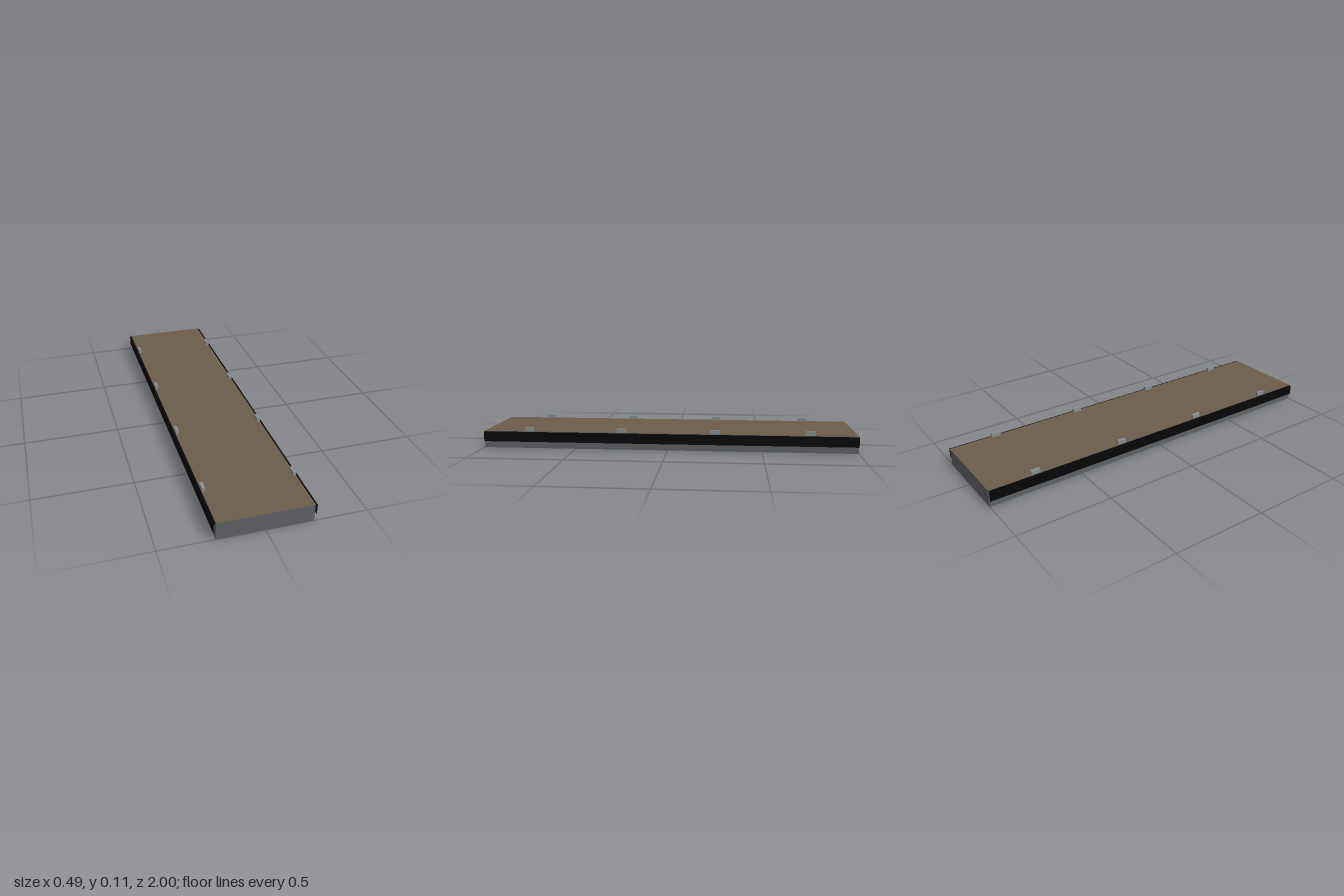
import * as THREE from 'three';

const HALF_W = 0.233, HALF_L = 1, DECK_Y = 0.091;

export function createModel() {
  const model = new THREE.Group();
  const mat = (name, color, side = THREE.FrontSide) => {
    const m = new THREE.MeshStandardMaterial({ color, side });
    m.name = name;
    return m;
  };
  const wood = mat('brown deck', 0x6b5d4a, THREE.DoubleSide);
  const steel = mat('dark grey frame', 0x5f6266, THREE.DoubleSide);
  const rubber = mat('black trim', 0x060606, THREE.DoubleSide);
  const metal = mat('light grey clip', 0x8a8f93);

  const add = (name, geometry, material, x, y, z, rx = 0, ry = 0) => {
    const mesh = new THREE.Mesh(geometry, material);
    mesh.name = name;
    mesh.position.set(x, y, z);
    mesh.rotation.set(rx, ry, 0);
    model.add(mesh);
  };

  // Thin deck sheet over an open-bottomed frame
  add('deck', new THREE.PlaneGeometry(HALF_W * 2, HALF_L * 2), wood, 0, DECK_Y, 0, -Math.PI / 2);

  const endWall = new THREE.PlaneGeometry(HALF_W * 2, DECK_Y);
  const sideWall = new THREE.PlaneGeometry(HALF_L * 2, DECK_Y);
  const trimFace = new THREE.PlaneGeometry(HALF_L * 2, 0.053);
  const trimLip = new THREE.PlaneGeometry(0.01, HALF_L * 2);
  const clip = new THREE.BoxGeometry(0.016, 0.021, 0.048);

  for (const s of [-1, 1]) {
    const turn = s * Math.PI / 2;
    add(s > 0 ? 'frontWall' : 'backWall', endWall, steel, 0, DECK_Y / 2, s * HALF_L, 0, s > 0 ? 0 : Math.PI);
    const side = s > 0 ? 'left' : 'right';
    add(side + 'Wall', sideWall, steel, s * HALF_W, DECK_Y / 2, 0, 0, turn);

    // Side trim: open-ended angle strip standing just off the wall
    add(side + 'TrimFace', trimFace, rubber, s * (HALF_W + 0.01), 0.0615, 0, 0, turn);
    add(side + 'TrimLip', trimLip, rubber, s * (HALF_W + 0.005), 0.088, 0, -Math.PI / 2);

    // Clips along the deck edge
    for (const z of [-0.75, -0.25, 0.25, 0.75]) {
      add(side + 'Clip', clip, metal, s * 0.224, DECK_Y + 0.0105, z);
    }
  }
  return model;
}
